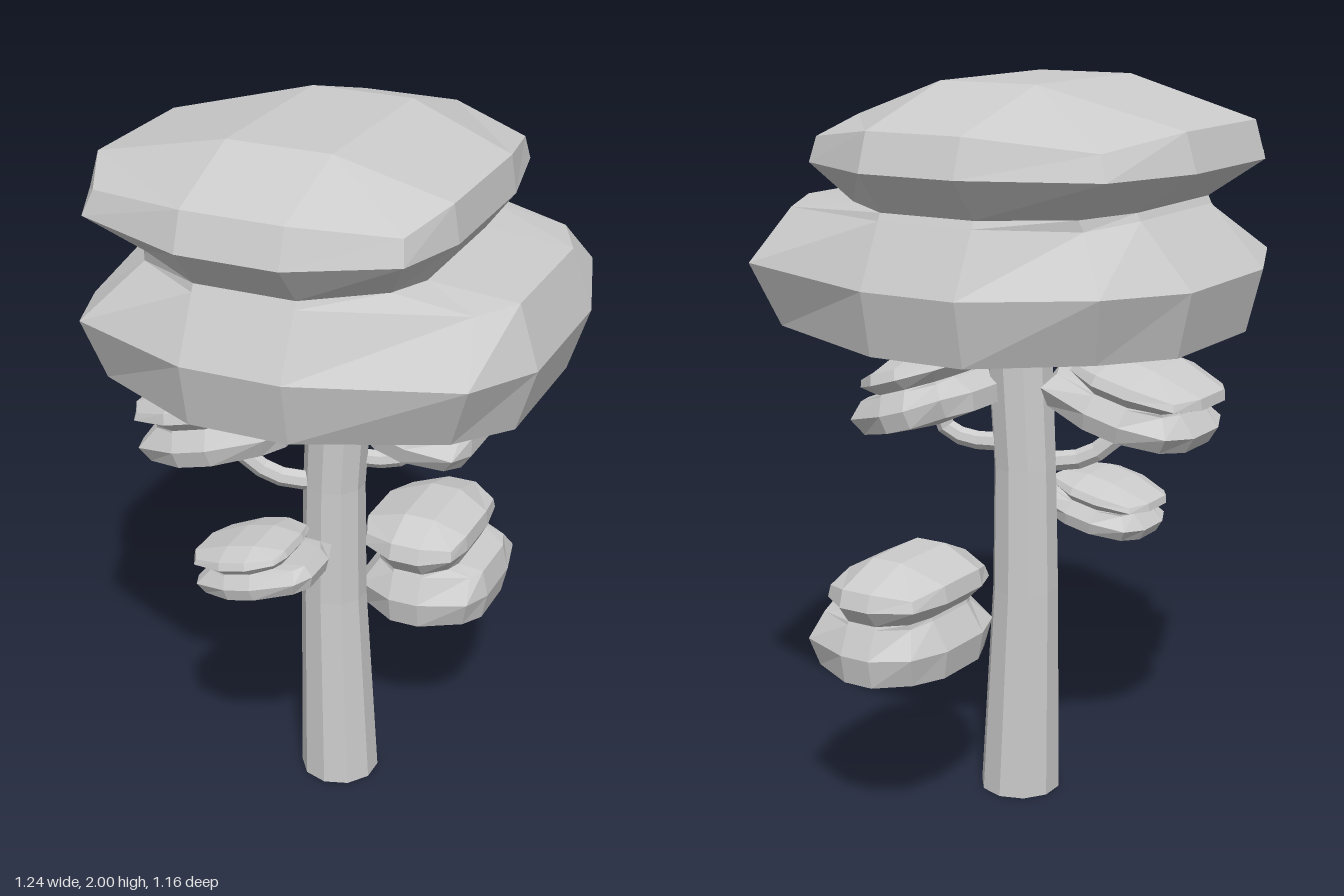
import * as THREE from 'three';

const bark = new THREE.MeshStandardMaterial({ color: 0xcccccc, flatShading: true });
const leaves = bark.clone();

// Foliage rings, bottom to top: x stations left to right, z of side, corner and middle points
const RINGS = [
  { y: 1.34, dy: 0.02, xs: [-0.58, -0.49, -0.19, 0.085, 0.46, 0.56], zs: [0.2, 0.42, 0.545] },
  { y: 1.51, dy: 0.02, xs: [-0.62, -0.53, -0.19, 0.085, 0.52, 0.615], zs: [0.21, 0.475, 0.58] },
  { y: 1.675, dy: -0.01, xs: [-0.47, -0.41, -0.19, 0.085, 0.48, 0.56], zs: [0.2, 0.34, 0.5] },
  { y: 1.695, dy: 0, xs: [-0.46, -0.4, -0.19, 0.085, 0.27, 0.32], zs: [0.2, 0.35, 0.49] },
  { y: 1.8, dy: 0, xs: [-0.62, -0.525, -0.19, 0.085, 0.34, 0.4], zs: [0.2, 0.44, 0.58] },
  { y: 1.9, dy: -0.035, xs: [-0.59, -0.5, -0.19, 0.085, 0.33, 0.385], zs: [0.2, 0.42, 0.545] },
];
const MID_Y = 1.645;

// Two-tier foliage: twelve-point rings joined by quads, closed by 3 x 3 domed caps
function foliageGeometry() {
  const pos = [], index = [];
  const quad = (a, b, c, d) => index.push(a, b, c, a, c, d);
  for (const { y, dy, xs, zs } of RINGS) {
    const point = (i, s) => {
      const k = Math.min(i, 5 - i);
      const z = s * zs[k] + (k === 0 ? 0.04 : 0);
      pos.push(xs[i], y + (k === 1 ? dy : 0) - MID_Y, z);
    };
    point(0, -1);
    for (let i = 0; i < 6; i++) point(i, 1);
    for (let i = 5; i > 0; i--) point(i, -1);
  }
  for (let r = 0; r < RINGS.length - 1; r++) {
    for (let i = 0; i < 12; i++) {
      const a = r * 12 + i, b = r * 12 + (i + 1) % 12;
      quad(a, b, b + 12, a + 12);
    }
  }
  const cap = (o, y, up) => {
    const n = pos.length / 3;
    for (const x of [-0.19, 0.095]) for (const z of [-0.2, 0.3]) pos.push(x, y - MID_Y, z);
    const grid = [
      [o + 11, o, o + 1, o + 2],
      [o + 10, n, n + 1, o + 3],
      [o + 9, n + 2, n + 3, o + 4],
      [o + 8, o + 7, o + 6, o + 5],
    ];
    for (let c = 0; c < 3; c++) for (let r = 0; r < 3; r++) {
      const q = [grid[c][r], grid[c][r + 1], grid[c + 1][r + 1], grid[c + 1][r]];
      quad(...(up ? q : q.reverse()));
    }
  };
  cap(0, 1.29, false);
  cap((RINGS.length - 1) * 12, 2, true);
  const g = new THREE.BufferGeometry();
  g.setAttribute('position', new THREE.Float32BufferAttribute(pos, 3));
  g.setIndex(index);
  g.computeVertexNormals();
  return g;
}

// Ten-sided trunk that leans and tapers: [y, centre x, radius]
function trunkGeometry() {
  const stations = [[0, -0.025, 0.113], [0.6, -0.042, 0.093], [0.95, -0.04, 0.087], [1.4, -0.015, 0.092]];
  const g = new THREE.CylinderGeometry(1, 1, 3, 10, 3);
  const p = g.attributes.position;
  for (let i = 0; i < p.count; i++) {
    const [y, x, r] = stations[Math.round(p.getY(i) + 1.5)];
    p.setXYZ(i, x + p.getX(i) * r, y, p.getZ(i) * r);
  }
  g.computeVertexNormals();
  return g;
}

export function createModel() {
  const group = new THREE.Group();
  const add = (name, geometry, material) => {
    const mesh = new THREE.Mesh(geometry, material);
    mesh.name = name;
    group.add(mesh);
    return mesh;
  };

  add('trunk', trunkGeometry(), bark);

  // Bent branches reaching up into the side foliage
  const branches = {
    rightBranch: [0.028, [-0.06, 0.96, 0.03], [-0.17, 0.97, 0.07], [-0.26, 1.03, 0.1], [-0.3, 1.14, 0.12]],
    leftBranch: [0.026, [-0.02, 1.02, -0.03], [0.1, 1.02, -0.06], [0.165, 1.05, -0.08], [0.18, 1.15, -0.1]],
  };
  for (const [name, [radius, ...points]] of Object.entries(branches)) {
    const path = new THREE.CatmullRomCurve3(points.map((p) => new THREE.Vector3(...p)));
    add(name, new THREE.TubeGeometry(path, 6, radius, 7), bark);
  }

  // Crown and smaller clumps: position, scale, tilt about z
  const foliage = foliageGeometry();
  const clumps = [
    ['crown', [0, MID_Y, 0], [1, 1, 1], 0],
    ['lowerLeftClump', [0.145, 0.6, -0.34], [0.315, 0.46, 0.415], 0],
    ['lowerRightClump', [-0.14, 0.815, 0.25], [0.285, 0.2, 0.253], 0.22],
    ['upperRightClump', [-0.31, 1.17, 0.12], [0.37, 0.28, 0.35], 0.25],
    ['upperLeftClump', [0.185, 1.175, -0.14], [0.29, 0.29, 0.37], -0.3],
  ];
  for (const [name, position, scale, tilt] of clumps) {
    const mesh = add(name, foliage, leaves);
    mesh.position.set(...position);
    mesh.scale.set(...scale);
    mesh.rotation.z = tilt;
  }
  return group;
}
